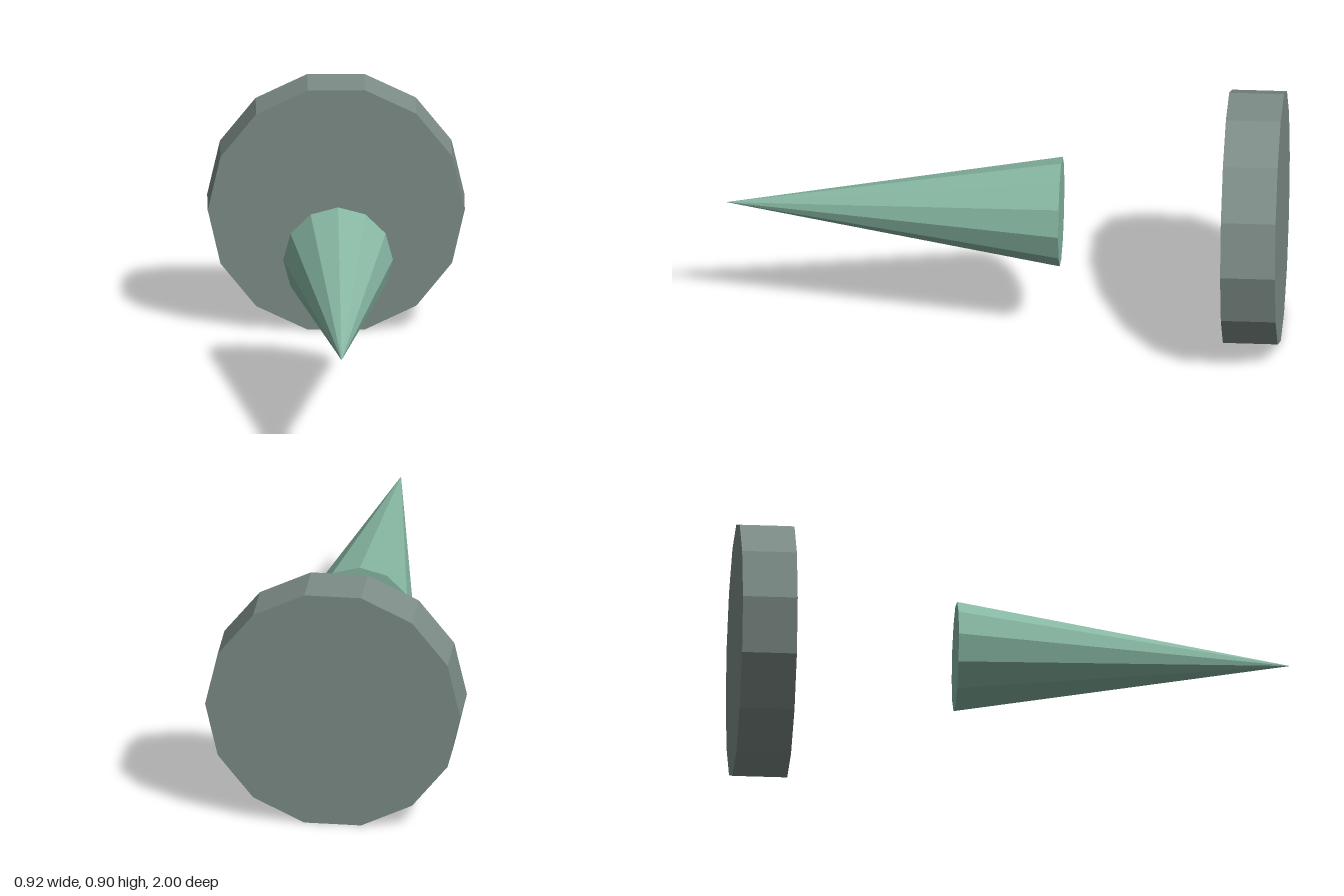
import * as THREE from 'three';

const CENTER_Y = 0.45;

export function createModel() {
  const group = new THREE.Group();
  group.name = 'coneAndDisc';

  const paleGreen = new THREE.MeshStandardMaterial({ color: 0x88b8a4, flatShading: true });
  paleGreen.name = 'pale green';
  const greyGreen = new THREE.MeshStandardMaterial({ color: 0x7d8d87, flatShading: true });
  greyGreen.name = 'grey green';

  // Lays an upright faceted solid along z, spanning back to front
  const addPart = (name, material, rTip, rBase, back, front, sides, start) => {
    const geometry = new THREE.CylinderGeometry(rTip, rBase, front - back, sides, 1, false, start);
    geometry.rotateX(Math.PI / 2);
    const mesh = new THREE.Mesh(geometry, material);
    mesh.name = name;
    mesh.position.set(0, CENTER_Y, (back + front) / 2);
    group.add(mesh);
  };

  // Twelve-sided spike pointing forward
  addPart('spike', paleGreen, 0, 0.197, -0.205, 1, 12, 0);
  // Fourteen-sided disc floating behind, corners on the x axis
  addPart('disc', greyGreen, 0.4615, 0.4615, -1, -0.803, 14, Math.PI / 2);

  return group;
}
